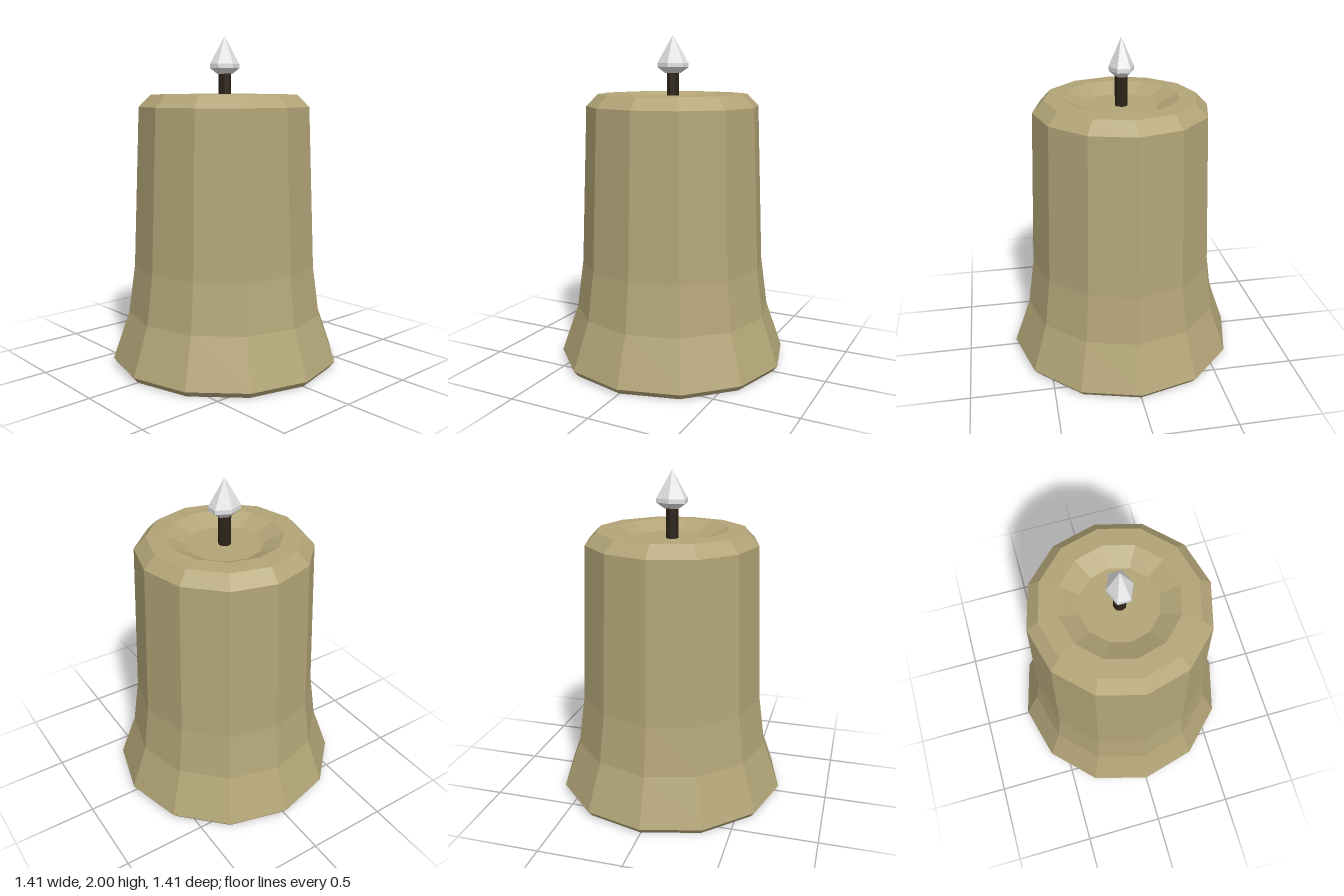
import * as THREE from 'three';

export function createModel() {
  const group = new THREE.Group();
  group.name = 'candle';

  const flat = (name, color) => {
    const m = new THREE.MeshStandardMaterial({ color, flatShading: true });
    m.name = name;
    return m;
  };
  const wax = flat('wax', 0xb3a578);
  const dark = flat('charredWick', 0x2e2419);
  const pale = flat('paleFlame', 0xe4e4e4);

  const add = (name, geometry, material) => {
    const mesh = new THREE.Mesh(geometry, material);
    mesh.name = name;
    group.add(mesh);
    return mesh;
  };
  const lathe = (points, sides) =>
    new THREE.LatheGeometry(points.map(([r, y]) => new THREE.Vector2(r, y)), sides);

  // Wax body: flared foot, tapering wall, bevelled rim and melted hollow
  add('waxBody', lathe([
    [0.675, 0], [0.703, 0.035], [0.602, 0.325], [0.562, 0.62],
    [0.523, 1.58], [0.452, 1.652], [0.342, 1.657], [0.225, 1.6], [0, 1.6],
  ], 12), wax);

  // Dark underside
  add('underside', lathe([[0, 0], [0.675, 0]], 12), dark);

  // Wick standing in the hollow
  const wick = add('wick', new THREE.CylinderGeometry(0.038, 0.038, 0.2, 8), dark);
  wick.position.y = 1.69;

  // Six-sided flame, wider across x
  const flame = lathe([
    [0, 1.775], [0.036, 1.775], [0.074, 1.81], [0.074, 1.835], [0, 2],
  ], 6);
  flame.scale(1.35, 1, 1);
  add('flame', flame, pale);

  return group;
}
